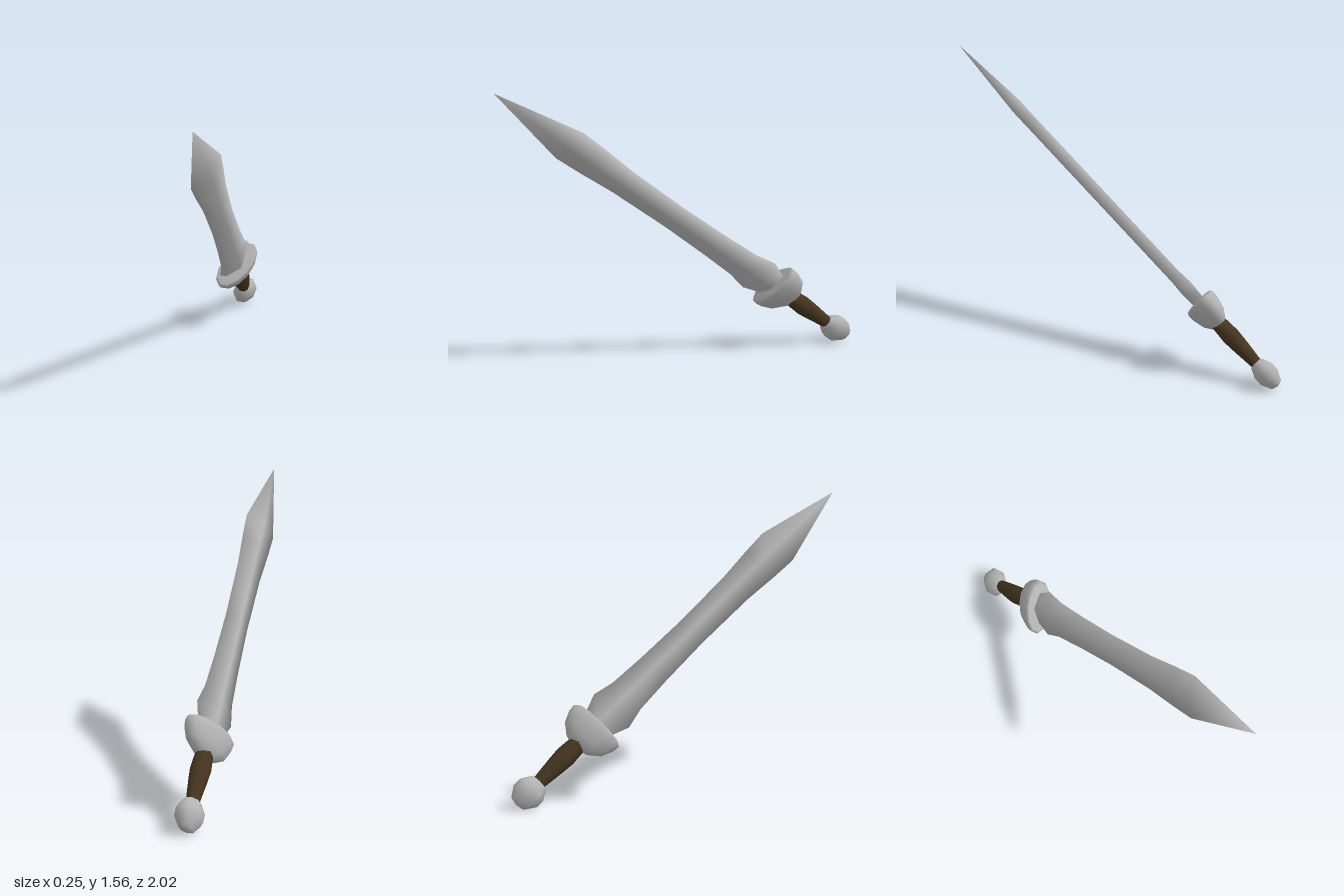
import * as THREE from 'three';
import { mergeVertices } from 'three/addons/utils/BufferGeometryUtils.js';

const steel = new THREE.MeshStandardMaterial({ color: 0xb4b4b4 });
steel.name = 'steel';
const leather = new THREE.MeshStandardMaterial({ color: 0x453520 });
leather.name = 'dark leather';

// Turn a [radius, height] profile, let a rule reshape it, then smooth it
function turned(name, profile, sides, material, flatten) {
  const points = profile.map(([r, y]) => new THREE.Vector2(r, y));
  const lathe = new THREE.LatheGeometry(points, sides);
  const pos = lathe.attributes.position;
  for (let i = 0; i < pos.count; i++) {
    pos.setZ(i, flatten(pos.getZ(i), pos.getY(i)));
  }
  lathe.deleteAttribute('uv');
  lathe.deleteAttribute('normal');
  const geometry = mergeVertices(lathe, 1e-5);
  geometry.computeVertexNormals();
  const mesh = new THREE.Mesh(geometry, material);
  mesh.name = name;
  return mesh;
}

export function createModel() {
  // Local frame: the tip is the origin, y runs along the blade, x across it
  const sword = new THREE.Group();
  sword.name = 'sword';

  // Leaf-shaped blade with a diamond section and a central ridge
  const ridge = (z, y) => {
    if (Math.abs(z) < 1e-4) return 0;
    return Math.sign(z) * 0.035 * Math.min(1, -y / 0.483);
  };
  sword.add(turned('blade', [
    [0, -1.98], [0.075, -1.97], [0.088, -1.93], [0.127, -1.825], [0.102, -1.71],
    [0.091, -1.5], [0.084, -1.2], [0.09, -0.84], [0.106, -0.63], [0.113, -0.483], [0, 0],
  ], 4, steel, ridge));

  // Oval bowl guard, flat towards the blade
  sword.add(turned('guard', [
    [0, -2.1], [0.075, -2.085], [0.13, -2.04], [0.156, -1.98], [0.161, -1.94],
    [0.145, -1.925], [0, -1.93],
  ], 12, steel, (z) => z * 0.5));

  // Tapered grip
  sword.add(turned('grip', [
    [0.046, -2.4], [0.036, -2.36], [0.05, -2.24], [0.056, -2.17], [0.048, -2.07],
  ], 8, leather, (z) => z * 0.9));

  // Rounded pommel
  sword.add(turned('pommel', [
    [0, -2.525], [0.045, -2.515], [0.082, -2.46], [0.082, -2.415], [0.05, -2.362], [0, -2.352],
  ], 8, steel, (z) => z * 0.76));

  // Tilt the sword so it rests on its pommel with the blade raised forward
  const along = new THREE.Vector3(0.055, 0.607, 0.792).normalize();
  const across = new THREE.Vector3(0.53, 0.62, -0.575);
  across.addScaledVector(along, -across.dot(along)).normalize();
  const face = new THREE.Vector3().crossVectors(across, along);
  sword.quaternion.setFromRotationMatrix(new THREE.Matrix4().makeBasis(across, along, face));
  sword.position.set(0.09, 1.56, 1);

  const model = new THREE.Group();
  model.name = 'model';
  model.add(sword);
  return model;
}
